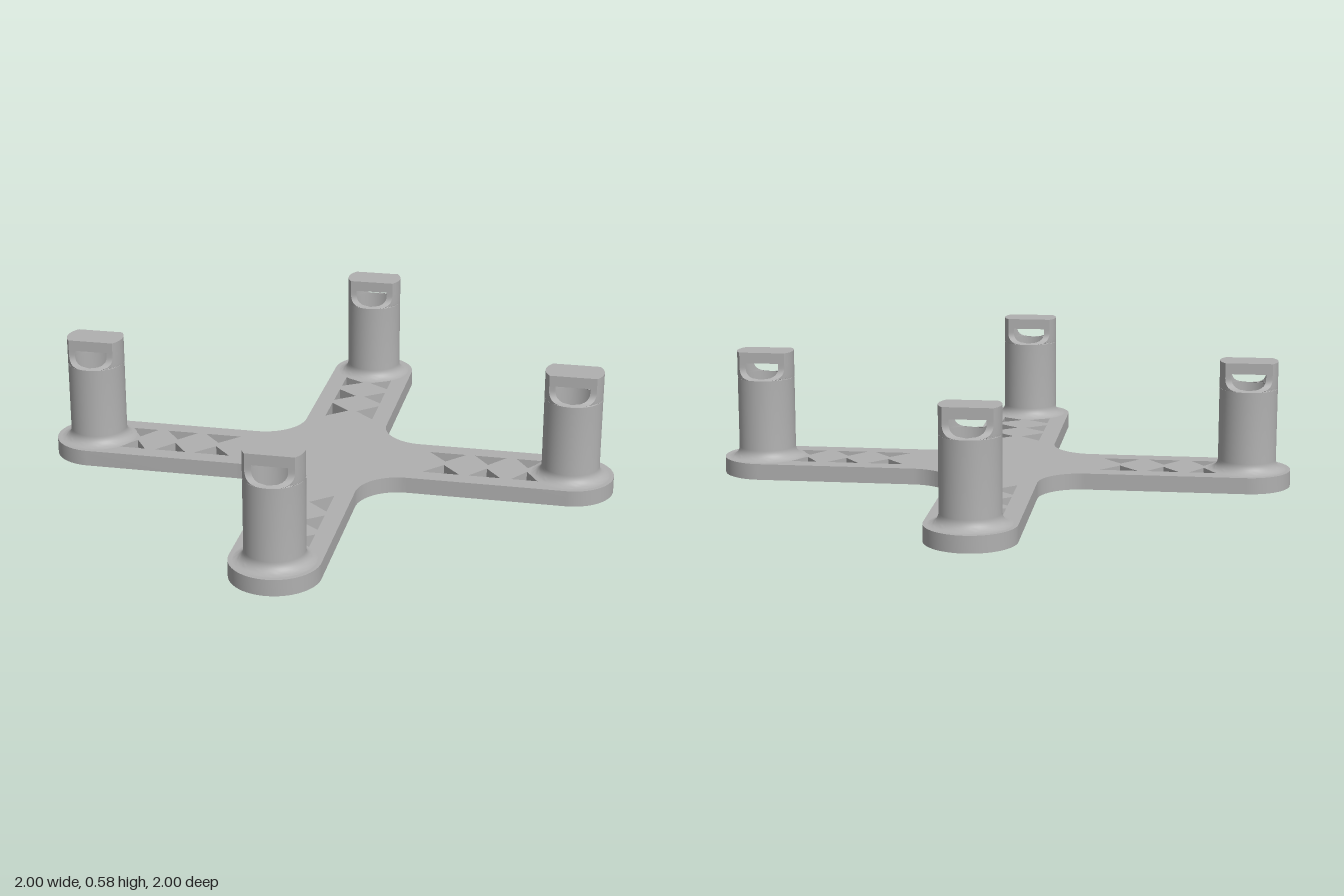
import * as THREE from 'three';
import { toCreasedNormals } from 'three/addons/utils/BufferGeometryUtils.js';

const PLATE = 0.075, ARM = 0.2, REACH = 0.8 * Math.SQRT2;
const R = 0.133, RI = 0.111;             // post outer and inner radius
const SHELF = 0.455, ROOF = 0.53, TOP = 0.58;
const HALF = 0.079, FILLET = R - HALF;   // half width of the head, radius at its foot

function extrudeUp(shape, depth) {
  const g = new THREE.ExtrudeGeometry(shape, { depth, bevelEnabled: false, curveSegments: 24 });
  return toCreasedNormals(g.rotateX(-Math.PI / 2), 0.5);
}

// Cross-shaped plate with rounded ends, filleted inner corners and openings
function plateGeometry() {
  const shape = new THREE.Shape();
  for (let k = 0; k < 4; k++) {
    const a = Math.PI / 4 + k * Math.PI / 2, q = Math.PI / 2, c = Math.cos(a), s = Math.sin(a);
    shape.absarc(REACH * c, REACH * s, ARM, a - q, a + q, false);
    const d = 2 * ARM * Math.SQRT2, m = a + q / 2;
    shape.absarc(d * Math.cos(m), d * Math.sin(m), ARM, a + 3 * q, a + 2 * q, true);

    const bore = new THREE.Path();
    bore.absarc(REACH * c, REACH * s, RI, 0, Math.PI * 2, true);
    shape.holes.push(bore);

    // pairs of facing triangles along the arm: [centre, half base]
    for (const [u, h] of [[0.547, 0.086], [0.748, 0.074], [0.934, 0.063]]) {
      for (const side of [1, -1]) {
        const pts = [[u - h, 0.117 * side], [u + h, 0.117 * side], [u, 0.021 * side]];
        shape.holes.push(new THREE.Path(pts.map(([p, v]) => new THREE.Vector2(p * c - v * s, p * s + v * c))));
      }
    }
  }
  return extrudeUp(shape, PLATE);
}

// Hollow tube with a flared foot
function tubeGeometry() {
  const f = 0.047, pts = [];
  for (let i = 0; i <= 8; i++) {
    const t = i / 8 * Math.PI / 2;
    pts.push(new THREE.Vector2(R + f - f * Math.sin(t), PLATE + f - f * Math.cos(t)));
  }
  pts.push(new THREE.Vector2(R, SHELF), new THREE.Vector2(RI, SHELF), new THREE.Vector2(RI, PLATE));
  return toCreasedNormals(new THREE.LatheGeometry(pts, 48), 0.6);
}

// Curved wall carrying one end of the head, narrowing upward from the tube
function endWallGeometry() {
  const levels = [], N = 12, pos = [], index = [];
  for (let i = 0; i <= 8; i++) {
    const t = i / 8 * Math.PI / 2;
    levels.push([SHELF + FILLET * (1 - Math.cos(t)), R - FILLET * Math.sin(t)]);
  }
  levels.push([ROOF, HALF]);
  for (const [y, h] of levels) {
    const ao = Math.asin(Math.min(1, h / R)), ai = Math.asin(Math.min(1, h / RI));
    const s = Math.sqrt(Math.max(0, RI * RI - h * h));
    const arc = (r, a, dir) => {
      for (let j = 0; j <= N; j++) {
        const t = dir * a * (2 * j / N - 1);
        pos.push(r * Math.cos(t), y, r * Math.sin(t));
      }
    };
    arc(R, ao, 1);
    pos.push(s, y, h);
    arc(RI, ai, -1);
    pos.push(s, y, -h);
  }
  const m = 2 * N + 4;
  for (let l = 0; l < levels.length - 1; l++) {
    for (let j = 0; j < m; j++) {
      const a = l * m + j, b = l * m + (j + 1) % m;
      index.push(a, a + m, b, b, a + m, b + m);
    }
  }
  const g = new THREE.BufferGeometry();
  g.setAttribute('position', new THREE.Float32BufferAttribute(pos, 3));
  g.setIndex(index);
  return toCreasedNormals(g, 0.6);
}

// Flat-sided cap bridging the two end walls
function headGeometry() {
  const a = Math.asin(HALF / R), shape = new THREE.Shape();
  shape.absarc(0, 0, R, -a, a, false);
  shape.absarc(0, 0, R, Math.PI - a, Math.PI + a, false);
  return extrudeUp(shape, TOP - ROOF);
}

export function createModel() {
  const grey = new THREE.MeshStandardMaterial({ color: 0xb0b0b0 });
  grey.name = 'grey';
  const add = (parent, geometry, name) => {
    const mesh = new THREE.Mesh(geometry, grey);
    mesh.name = name;
    parent.add(mesh);
    return mesh;
  };

  const model = new THREE.Group();
  model.name = 'crossBracket';
  add(model, plateGeometry(), 'crossPlate');

  // Four identical posts, all with the head turned the same way
  const tube = tubeGeometry(), wall = endWallGeometry(), head = headGeometry();
  for (const x of [-0.8, 0.8]) {
    for (const z of [-0.8, 0.8]) {
      const post = new THREE.Group();
      post.name = (z > 0 ? 'front' : 'back') + (x > 0 ? 'Left' : 'Right') + 'Post';
      post.position.set(x, 0, z);
      post.rotation.y = -Math.PI / 4;
      add(post, tube, 'postTube');
      add(post, wall, 'headWallOuter');
      add(post, wall, 'headWallInner').rotation.y = Math.PI;
      add(post, head, 'headCap').position.y = ROOF;
      model.add(post);
    }
  }
  return model;
}
